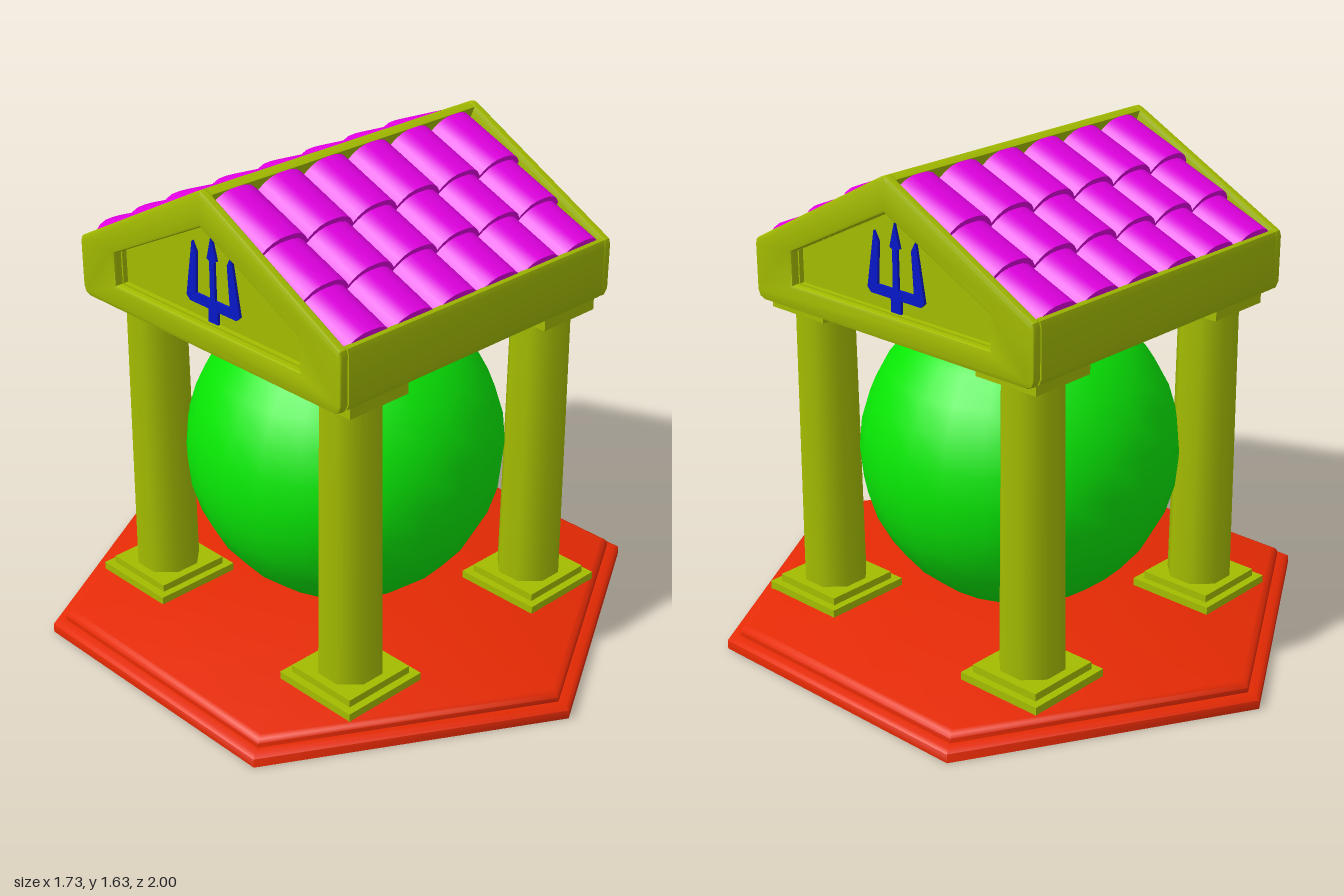
import * as THREE from 'three';
import { toCreasedNormals } from 'three/addons/utils/BufferGeometryUtils.js';

const mat = (color) => new THREE.MeshStandardMaterial({ color });
const olive = mat(0xa4bc00), red = mat(0xe62a04), green = mat(0x08e804);
const magenta = mat(0xe000e0), blue = mat(0x0818c8);
red.side = THREE.DoubleSide; // the base is an open shell

const APEX = 1.635, PITCH = THREE.MathUtils.degToRad(28.2);

function add(parent, name, geometry, material, x = 0, y = 0, z = 0) {
  const mesh = new THREE.Mesh(geometry, material);
  mesh.name = name;
  mesh.position.set(x, y, z);
  parent.add(mesh);
  return mesh;
}

const vec = (p) => new THREE.Vector2(p[0], p[1]);

// Closed outline from its right half, listed from bottom to top
function mirrored(half) {
  const left = half.filter((p) => p[0] > 0).map(([x, y]) => [-x, y]).reverse();
  return [...half, ...left].map(vec);
}

// Point on the roof section: d down the slope, h above it
const slope = (d, h) => [
  d * Math.cos(PITCH) + h * Math.sin(PITCH),
  APEX - d * Math.sin(PITCH) + h * Math.cos(PITCH),
];

// Extrude a z/y section along x, centred on the origin
function alongX(shape, width, bevel = 0) {
  const geo = new THREE.ExtrudeGeometry(shape, {
    depth: width - 2 * bevel, bevelEnabled: bevel > 0, bevelSize: bevel,
    bevelThickness: bevel, bevelOffset: -bevel, bevelSegments: 2,
  });
  geo.translate(0, 0, -(width - 2 * bevel) / 2);
  geo.rotateY(Math.PI / 2);
  return toCreasedNormals(geo, 0.6);
}

// Stepped hexagonal shell, hollow underneath, shaded softly around its corners
function makeBase(parent) {
  const profile = [[1, 0], [1, 0.03], [0.985, 0.039], [0.956, 0.041],
    [0.956, 0.056], [0.948, 0.067], [0.93, 0.074], [0, 0.074]].map(vec);
  add(parent, 'base', toCreasedNormals(new THREE.LatheGeometry(profile, 6), 1.1), red);
}

function makeColumn(parent, x, z) {
  const column = new THREE.Group();
  column.name = 'column';
  column.position.set(x, 0, z);
  parent.add(column);
  const slab = (name, half, y0, y1) =>
    add(column, name, new THREE.BoxGeometry(half * 2, y1 - y0, half * 2), olive, 0, (y0 + y1) / 2, 0);
  slab('plinth', 0.156, 0.072, 0.1);
  slab('plinthStep', 0.13, 0.1, 0.125);
  slab('capitalStep', 0.1, 1.075, 1.09);
  slab('capital', 0.118, 1.085, 1.125);
  // Tapered eight-sided shaft with a flat side to the front
  const k = 1 / Math.cos(Math.PI / 8);
  const shaft = new THREE.CylinderGeometry(0.092 * k, 0.1 * k, 0.96, 8).rotateY(Math.PI / 8);
  add(column, 'shaft', shaft, olive, 0, 0.605, 0);
}

function makeTrident(parent, side) {
  const shape = new THREE.Shape(mirrored([
    [0.021, 1.2], [0.021, 1.243], [0.105, 1.243], [0.121, 1.258], [0.088, 1.442],
    [0.07, 1.41], [0.078, 1.275], [0.011, 1.275], [0.01, 1.4], [0.021, 1.405], [0, 1.482],
  ]));
  add(parent, 'trident', alongX(shape, 0.012), blue, side * 0.543, 0, 0);
}

function makeRoof(parent) {
  const roof = new THREE.Group();
  roof.name = 'roof';
  parent.add(roof);
  const wall = [[0.56, 1.12], [0.581, 1.129], [0.59, 1.15], [0.59, 1.303], slope(0.663, 0)];
  const ridge = [slope(0.03, 0), slope(0.016, 0), [0, APEX - 0.003]];
  const opening = () => new THREE.Path(mirrored([[0.42, 1.2], [0.42, 1.31], [0, 1.52]]));

  // Core with a sunken bed on both slopes
  const core = new THREE.Shape(mirrored([
    ...wall, slope(0.65, 0), slope(0.65, -0.045), slope(0.035, -0.045), ...ridge,
  ]));
  core.holes.push(opening());
  add(roof, 'roofCore', alongX(core, 1.114), olive);

  // Panel closing the opening, set back from both gables
  const panel = new THREE.Shape(mirrored([[0.43, 1.19], [0.43, 1.315], [0, 1.53]]));
  add(roof, 'pedimentPanel', alongX(panel, 1.08), olive);

  // Gable ends framing the recess
  const gable = new THREE.Shape(mirrored([...wall, ...ridge]));
  gable.holes.push(opening());
  const gableGeo = alongX(gable, 0.034, 0.01);
  for (const side of [1, -1]) {
    add(roof, 'gable', gableGeo, olive, side * 0.573, 0, 0);
    makeTrident(roof, side);
  }

  // Barrel tiles: three overlapping rows of six on each slope
  const half = 0.0925, rise = 0.047, arc = [];
  for (let i = 0; i <= 10; i++) {
    const t = Math.cos(i / 10 * Math.PI);
    arc.push(new THREE.Vector2(t * half, rise * (1 - Math.abs(t) ** 3)));
  }
  const section = new THREE.Shape([
    new THREE.Vector2(-half, -0.015), new THREE.Vector2(half, -0.015), ...arc]);
  const tileGeo = toCreasedNormals(
    new THREE.ExtrudeGeometry(section, { depth: 0.235, bevelEnabled: false }), 0.6);
  for (const turn of [0, Math.PI]) {
    const facing = new THREE.Group();
    facing.name = 'roofSlope';
    facing.rotation.y = turn;
    roof.add(facing);
    const bed = new THREE.Group();
    bed.name = 'tileBed';
    bed.position.y = APEX;
    bed.rotation.x = PITCH;
    facing.add(bed);
    for (let row = 0; row < 3; row++) {
      for (let col = 0; col < 6; col++) {
        const tile = add(bed, 'roofTile', tileGeo, magenta,
          (col - 2.5) * half * 2, -0.047, 0.034 + row * 0.193);
        tile.rotation.x = -0.1;
      }
    }
  }
}

export function createModel() {
  const model = new THREE.Group();
  model.name = 'temple';
  makeBase(model);
  for (const x of [0.427, -0.415]) {
    for (const z of [0.452, -0.441]) makeColumn(model, x, z);
  }
  // Ball just touching through the base plate
  add(model, 'ball', new THREE.SphereGeometry(0.527, 24, 16), green, 0, 0.599, 0);
  makeRoof(model);
  return model;
}
